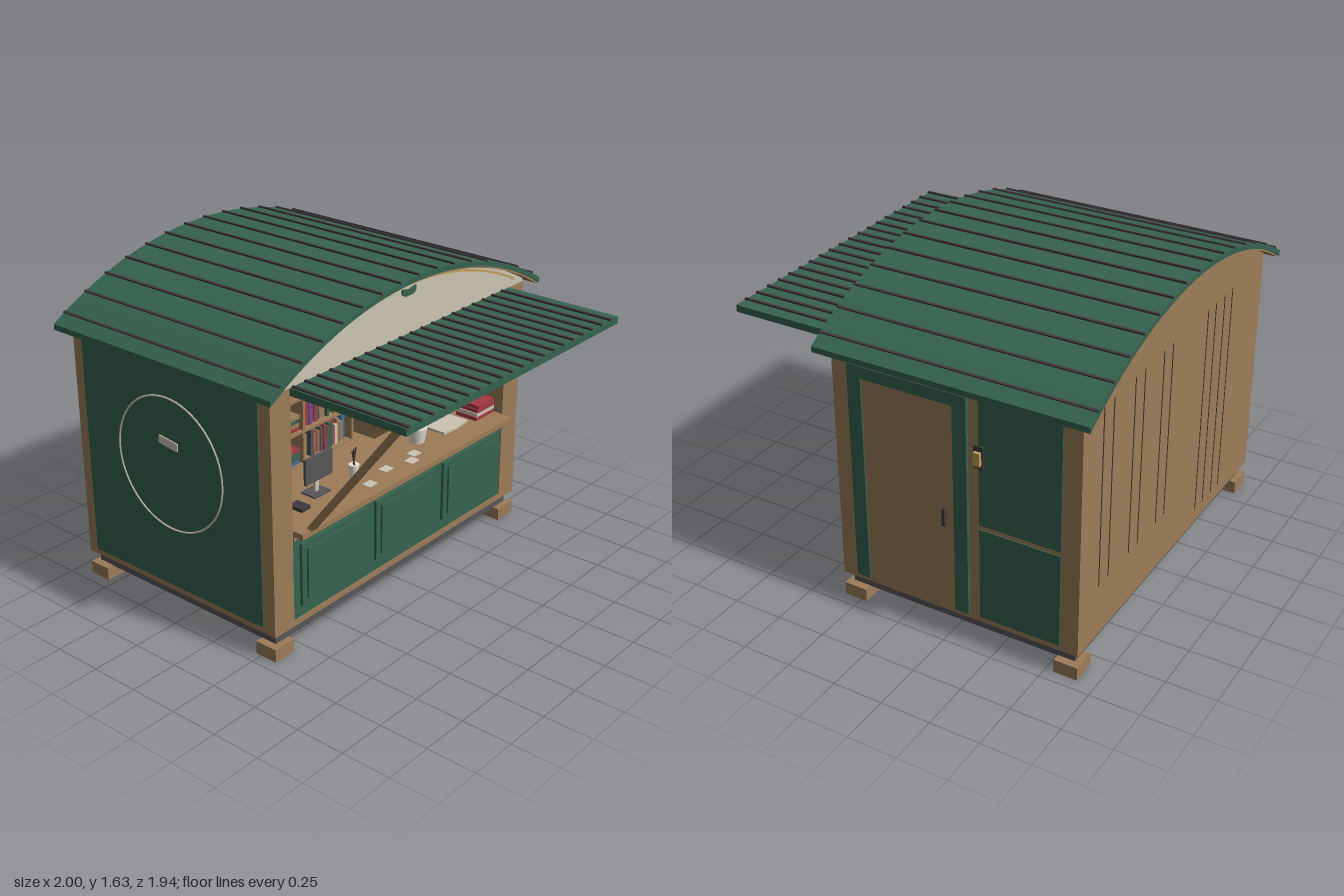
import * as THREE from 'three';

const COLORS = {
  wood: 0x9c7c58, green: 0x36634f, grey: 0x57575b, dark: 0x41383b, cream: 0xccc4b3,
  gold: 0xbb9f5a, red: 0xa33a40, blue: 0x4070a3, purple: 0x6f4a8e, white: 0xe6e1d8,
};
const ARC_R = 1.926, ARC_TOP = 1.62, ARC_CY = ARC_TOP - ARC_R;

export function createModel() {
  const root = new THREE.Group();
  root.name = 'kiosk';
  const M = {};
  for (const [name, color] of Object.entries(COLORS)) {
    M[name] = new THREE.MeshStandardMaterial({ color });
    M[name].name = name;
  }
  let seed = 11;
  const rnd = () => (seed = (seed * 16807) % 2147483647) / 2147483647;

  const group = (name, parent = root) => {
    const g = new THREE.Group();
    g.name = name;
    parent.add(g);
    return g;
  };
  const add = (parent, name, geo, mat, x = 0, y = 0, z = 0) => {
    const m = new THREE.Mesh(geo, mat);
    m.name = name;
    m.position.set(x, y, z);
    parent.add(m);
    return m;
  };
  // box given by its extents
  const box = (parent, name, mat, x0, x1, y0, y1, z0, z1) =>
    add(parent, name, new THREE.BoxGeometry(x1 - x0, y1 - y0, z1 - z0), mat,
      (x0 + x1) / 2, (y0 + y1) / 2, (z0 + z1) / 2);
  // points along the roof curve, at a depth below its outer face
  const arc = (halfX, depth, n = 36) => {
    const r = ARC_R - depth, a = Math.asin(halfX / r), pts = [];
    for (let i = 0; i <= n; i++) {
      const t = -a + (2 * a * i) / n;
      pts.push(new THREE.Vector2(r * Math.sin(t), ARC_CY + r * Math.cos(t)));
    }
    return pts;
  };
  const extrude = (parent, name, pts, mat, z0, z1) =>
    add(parent, name, new THREE.ExtrudeGeometry(new THREE.Shape(pts),
      { depth: z1 - z0, bevelEnabled: false }), mat, 0, 0, z0);
  const band = (parent, name, mat, halfX, d0, d1, z0, z1) =>
    extrude(parent, name, [...arc(halfX, d0), ...arc(halfX, d1).reverse()], mat, z0, z1);
  const arched = (parent, name, mat, y0, z0, z1) =>
    extrude(parent, name, [new THREE.Vector2(-0.94, y0), ...arc(0.94, 0.032),
      new THREE.Vector2(0.94, y0)], mat, z0, z1);

  // Base and feet
  const base = group('base');
  box(base, 'chassis', M.grey, -0.905, 0.905, 0.07, 0.13, -0.88, 0.31);
  box(base, 'underside', M.dark, -0.9, 0.9, 0.064, 0.07, -0.875, 0.305);
  for (const x of [-0.94, 0.815]) for (const z of [-0.91, 0.22])
    box(base, 'foot', M.wood, x, x + 0.125, 0, 0.066, z, z + 0.12);
  box(base, 'floor', M.wood, -0.94, 0.94, 0.13, 0.16, -0.91, 0.34);

  // Walls
  const walls = group('walls');
  arched(walls, 'backWall', M.wood, 0.16, -0.91, -0.88);
  arched(walls, 'frontGable', M.cream, 1.32, 0.31, 0.338);
  for (const s of [-1, 1]) {
    box(walls, 'sideWall', M.wood, s * 0.925 - 0.015, s * 0.925 + 0.015, 0.16, 1.335, -0.88, 0.31);
    box(walls, 'frontPost', M.wood, s * 0.875 - 0.065, s * 0.875 + 0.065, 0.16, 1.32, 0.25, 0.34);
  }
  box(walls, 'header', M.wood, -0.81, 0.81, 1.285, 1.32, 0.28, 0.335);
  box(walls, 'ceiling', M.wood, -0.91, 0.91, 1.31, 1.32, -0.88, 0.28);
  box(walls, 'innerPanel', M.green, -0.91, -0.905, 0.16, 1.3, -0.88, 0.25);
  [0.76, 0.67, 0.47, 0.38, 0.19, 0.1, -0.28, -0.37, -0.47, -0.56].forEach((x) =>
    box(walls, 'boardSeam', M.dark, x - 0.003, x + 0.003, x > 0 ? 0.4 : 0.2, 1.3, -0.912, -0.909));
  band(walls, 'gableTrim', M.gold, 0.86, 0.05, 0.06, 0.338, 0.342);

  // Small open-book badge on the gable
  const badge = [[-0.05, 1.55], [0, 1.54], [0.05, 1.55], [0.05, 1.525], [0.03, 1.512],
    [-0.03, 1.512], [-0.05, 1.525]].map((p) => new THREE.Vector2(...p));
  extrude(walls, 'gableBadge', badge, M.green, 0.338, 0.347);

  // Roof with raised seams
  const roof = group('roof');
  band(roof, 'roofSheet', M.green, 1, 0, 0.024, -0.97, 0.4);
  band(roof, 'soffit', M.wood, 0.985, 0.024, 0.033, -0.96, 0.39);
  for (let i = -7; i <= 7; i++) {
    const x = i * 0.1333, a = Math.asin(x / ARC_R);
    const rib = add(roof, 'roofRib', new THREE.BoxGeometry(0.01, 0.014, 1.37), M.dark,
      x, ARC_CY + ARC_R * Math.cos(a) + 0.002, -0.285);
    rib.rotation.z = -a;
  }

  // Raised serving flap with its strut
  const flap = group('awning');
  box(flap, 'flapPanel', M.green, -0.815, 0.815, 1.287, 1.322, 0.34, 0.97);
  for (let i = 0; i < 20; i++) {
    const x = -0.8 + i * 0.0813;
    box(flap, 'flapRib', M.dark, x - 0.007, x + 0.007, 1.32, 1.331, 0.345, 0.971);
  }
  for (const x of [-0.53, 0, 0.53])
    box(flap, 'hinge', M.dark, x - 0.03, x + 0.03, 1.272, 1.287, 0.335, 0.38);
  const from = new THREE.Vector3(-0.735, 0.625, 0.385), to = new THREE.Vector3(-0.735, 1.29, 0.895);
  const strut = add(flap, 'strut', new THREE.BoxGeometry(0.042, from.distanceTo(to), 0.026), M.wood);
  strut.position.copy(from).add(to).multiplyScalar(0.5);
  strut.rotation.x = Math.atan2(to.z - from.z, to.y - from.y);

  // Counter and front panels
  const counter = group('counter');
  box(counter, 'counterTop', M.wood, -0.81, 0.81, 0.6, 0.628, 0.02, 0.4);
  box(counter, 'counterRail', M.wood, -0.81, 0.81, 0.575, 0.6, 0.3, 0.345);
  box(counter, 'frontPanel', M.green, -0.81, 0.81, 0.16, 0.575, 0.3, 0.335);
  for (const x of [-0.53, 0, 0.53]) {
    box(counter, 'panelFrame', M.green, x - 0.232, x + 0.232, 0.22, 0.54, 0.335, 0.35);
    box(counter, 'panelField', M.green, x - 0.2, x + 0.2, 0.25, 0.51, 0.35, 0.36);
  }

  // Door side
  const side = group('doorSide');
  box(side, 'doorFrameFront', M.green, 0.935, 0.956, 0.16, 1.28, 0.18, 0.25);
  box(side, 'doorFrameBack', M.green, 0.935, 0.956, 0.16, 1.28, -0.36, -0.29);
  box(side, 'doorFrameTop', M.green, 0.935, 0.956, 1.22, 1.28, -0.29, 0.18);
  box(side, 'door', M.wood, 0.935, 0.947, 0.16, 1.22, -0.29, 0.18);
  box(side, 'doorHandle', M.dark, 0.947, 0.965, 0.6, 0.69, -0.247, -0.233);
  box(side, 'lowerPanel', M.green, 0.938, 0.946, 0.16, 0.632, -0.82, -0.415);
  box(side, 'upperPanel', M.green, 0.938, 0.946, 0.656, 1.28, -0.82, -0.415);
  box(side, 'lampBracket', M.dark, 0.94, 0.955, 0.95, 1.06, -0.442, -0.395);
  box(side, 'wallLamp', M.gold, 0.955, 0.972, 0.97, 1.035, -0.435, -0.402);

  // Far side: painted panel with a thin ring
  const far = group('panelSide');
  box(far, 'sidePanel', M.green, -0.944, -0.938, 0.16, 1.3, -0.85, 0.27);
  const ring = add(far, 'ring', new THREE.TorusGeometry(0.335, 0.005, 6, 64), M.cream, -0.944, 0.805, -0.29);
  ring.rotation.y = Math.PI / 2;
  const plate = box(far, 'ringBadge', M.cream, -0.95, -0.944, 0.895, 0.935, -0.35, -0.23);
  plate.rotation.x = 0.12;

  // Bookshelves along the back wall
  const shelves = group('bookshelves');
  const bookMats = [M.red, M.blue, M.green, M.purple, M.gold, M.cream, M.red, M.green, M.grey, M.wood];
  const pick = () => bookMats[Math.floor(rnd() * bookMats.length)];
  for (const x of [-0.82, -0.41, 0, 0.41, 0.82])
    box(shelves, 'upright', M.wood, x - 0.009, x + 0.009, 0.16, 1.165, -0.88, -0.68);
  box(shelves, 'topRail', M.wood, -0.82, 0.82, 1.15, 1.165, -0.88, -0.68);
  for (let row = 0; row < 5; row++) {
    const y = 0.17 + row * 0.2;
    box(shelves, 'shelf', M.wood, -0.82, 0.82, y - 0.016, y, -0.88, -0.68);
    for (let bay = 0; bay < 4; bay++) {
      let x = -0.805 + bay * 0.41;
      const end = x + 0.385;
      const stackAt = rnd() < 0.45 ? end - 0.14 : end;
      while (x < stackAt - 0.03) {
        const w = 0.015 + rnd() * 0.014, h = 0.1 + rnd() * 0.06;
        box(shelves, 'book', pick(), x, x + w, y, y + h, -0.86, -0.7 - rnd() * 0.02);
        x += w + (rnd() < 0.07 ? 0.03 : 0.001);
      }
      for (let k = 0; stackAt < end && k < 4; k++)
        box(shelves, 'stackedBook', pick(), stackAt + rnd() * 0.015, end - rnd() * 0.015,
          y + k * 0.023, y + k * 0.023 + 0.021, -0.86, -0.7);
    }
  }

  // Hanging lamps
  for (const x of [-0.53, 0, 0.53]) {
    const lamp = group('pendantLamp');
    lamp.position.set(x, 0, -0.1);
    const pts = [[0.08, 1.132], [0.072, 1.148], [0.045, 1.168], [0.018, 1.186], [0.012, 1.2]];
    add(lamp, 'shade', new THREE.LatheGeometry(pts.map((p) => new THREE.Vector2(...p)), 20),
      M.gold).material.side = THREE.DoubleSide;
    add(lamp, 'bulb', new THREE.SphereGeometry(0.02, 12, 8), M.cream, 0, 1.14, 0);
    add(lamp, 'cord', new THREE.CylinderGeometry(0.004, 0.004, 0.12, 6), M.dark, 0, 1.255, 0);
  }

  // Things on the counter
  const items = group('counterItems');
  box(items, 'screen', M.grey, -0.555, -0.37, 0.7, 0.83, 0.18, 0.195);
  box(items, 'screenStand', M.cream, -0.475, -0.45, 0.635, 0.72, 0.165, 0.18);
  box(items, 'screenFoot', M.grey, -0.52, -0.41, 0.628, 0.636, 0.13, 0.22);
  box(items, 'cardReader', M.dark, -0.66, -0.6, 0.628, 0.645, 0.18, 0.26);
  const cup = add(items, 'cup', new THREE.CylinderGeometry(0.027, 0.02, 0.06, 16), M.white, -0.22, 0.658, 0.2);
  [-0.25, 0, 0.22].forEach((tilt, i) => {
    const p = add(cup, 'pencil', new THREE.CylinderGeometry(0.004, 0.004, 0.11, 6), M.dark, -tilt * 0.05, 0.055, (i - 1) * 0.008);
    p.rotation.z = tilt;
  });
  const pot = add(items, 'plantPot', new THREE.CylinderGeometry(0.052, 0.038, 0.08, 20), M.white, 0.27, 0.668, 0.2);
  for (let i = 0; i < 9; i++) {
    const leaf = add(pot, 'leaf', new THREE.ConeGeometry(0.014, 0.13, 5).translate(0, 0.065, 0), M.green, 0, 0.03, 0);
    leaf.rotation.set(0, i * 2.4, i ? 0.25 + (i % 3) * 0.16 : 0, 'YXZ');
  }
  for (const s of [-1, 1]) {
    const page = box(items, 'openBookPage', M.cream, 0.5 + s * 0.05 - 0.05, 0.5 + s * 0.05 + 0.05, 0.632, 0.644, 0.14, 0.27);
    page.rotation.z = s * 0.08;
  }
  [M.red, M.cream, M.red, M.red].forEach((mat, i) =>
    box(items, 'counterBook', mat, 0.65 + i * 0.005, 0.805, 0.628 + i * 0.02, 0.647 + i * 0.02, 0.16, 0.29));
  [-0.27, -0.1, 0.05, 0.12].forEach((x, i) =>
    box(items, 'paper', M.cream, x, x + 0.06, 0.628, 0.631, 0.29 - (i % 2) * 0.04, 0.34 - (i % 2) * 0.04));

  // Chair behind the counter
  const chair = group('chair');
  box(chair, 'chairBack', M.green, -0.65, -0.42, 0.68, 0.78, -0.2, -0.17);
  box(chair, 'chairSeat', M.green, -0.65, -0.42, 0.45, 0.49, -0.2, 0);
  box(chair, 'chairRail', M.wood, -0.67, -0.4, 0.81, 0.835, -0.2, -0.175);
  for (const x of [-0.67, -0.42]) for (const [z, top] of [[-0.2, 0.82], [-0.02, 0.47]])
    box(chair, 'chairLeg', M.wood, x, x + 0.02, 0.16, top, z, z + 0.02);

  return root;
}
